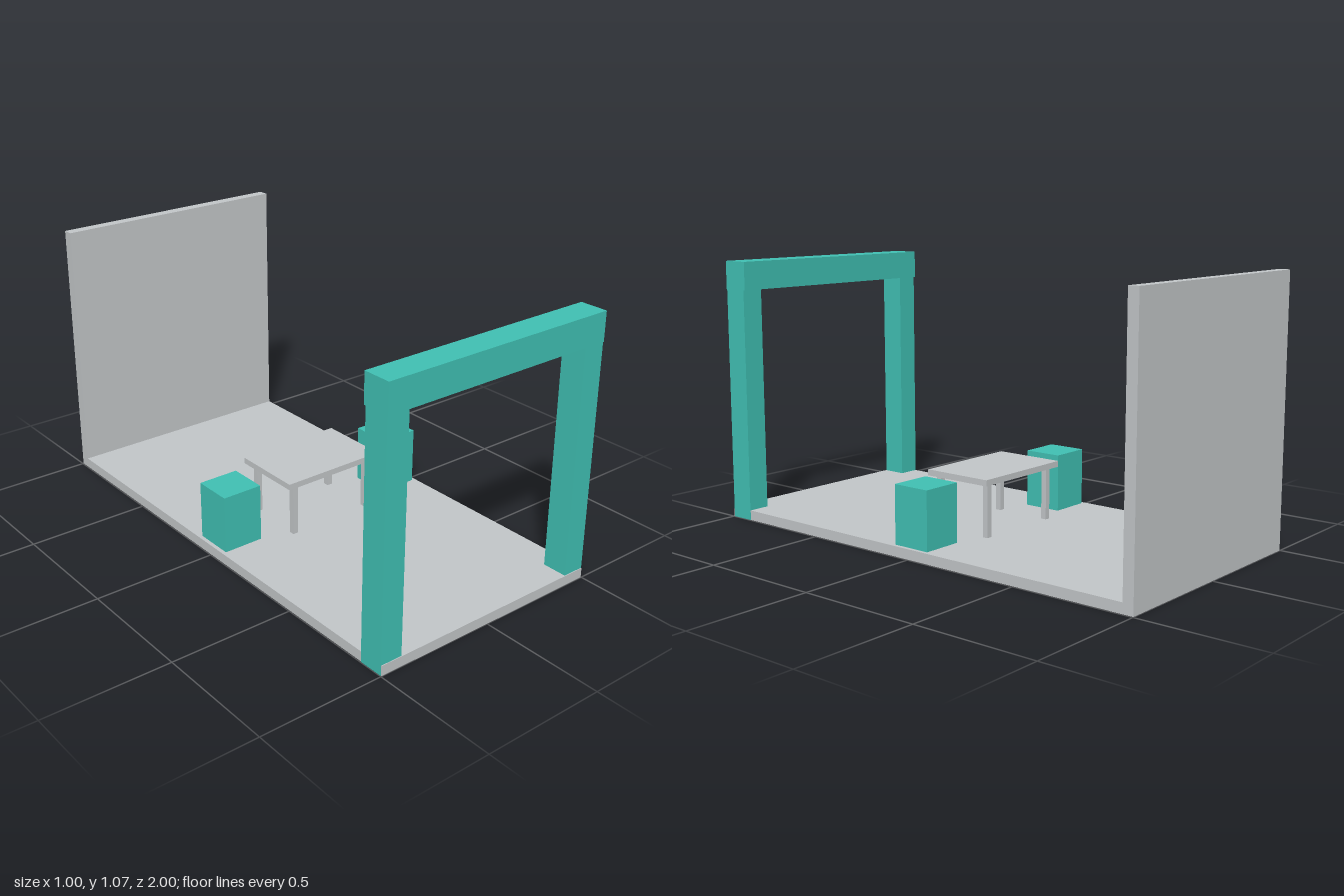
import * as THREE from 'three';

export function createModel() {
  const model = new THREE.Group();
  const grey = new THREE.MeshStandardMaterial({ color: 0xc2c6c8 });
  grey.name = 'light grey';
  const teal = new THREE.MeshStandardMaterial({ color: 0x40c0b3 });
  teal.name = 'teal';

  // Box given by its lower and upper corners
  function block(name, material, [x0, y0, z0], [x1, y1, z1], parent = model) {
    const mesh = new THREE.Mesh(new THREE.BoxGeometry(x1 - x0, y1 - y0, z1 - z0), material);
    mesh.position.set((x0 + x1) / 2, (y0 + y1) / 2, (z0 + z1) / 2);
    mesh.name = name;
    parent.add(mesh);
    return mesh;
  }

  const W = 0.497; // half width of the booth
  const floorTop = 0.041;
  const height = 1.066;

  // Floor slab and back wall
  block('floor', grey, [-W, 0.0005, -1], [W, floorTop, 1]);
  block('backWall', grey, [-W, floorTop, -1], [W, height, -0.957]);

  // Front gateway: two posts let into the floor, and a beam
  const gateway = new THREE.Group();
  gateway.name = 'gateway';
  model.add(gateway);
  const sides = [['left', 1], ['right', -1]];
  for (const [side, s] of sides) {
    const post = block(side + 'Post', teal, [0.407, 0, 0.895], [W + 0.001, 0.951, 0.997], gateway);
    post.position.x *= s;
  }
  block('beam', teal, [-W - 0.001, 0.951, 0.887], [W + 0.001, height, 1], gateway);

  // Stools on both sides of the table
  for (const [side, s] of sides) {
    const stool = block(side + 'Stool', teal, [0.314, floorTop, -0.083], [0.481, 0.274, 0.078]);
    stool.position.x *= s;
  }

  // Table with four legs
  const table = new THREE.Group();
  table.name = 'table';
  model.add(table);
  block('tableTop', grey, [-0.224, 0.252, -0.151], [0.224, 0.276, 0.146], table);
  for (const x of [-0.182, 0.182]) {
    for (const z of [-0.119, 0.117]) {
      block('tableLeg', grey, [x - 0.0115, floorTop, z - 0.0115], [x + 0.0115, 0.252, z + 0.0115], table);
    }
  }

  return model;
}
